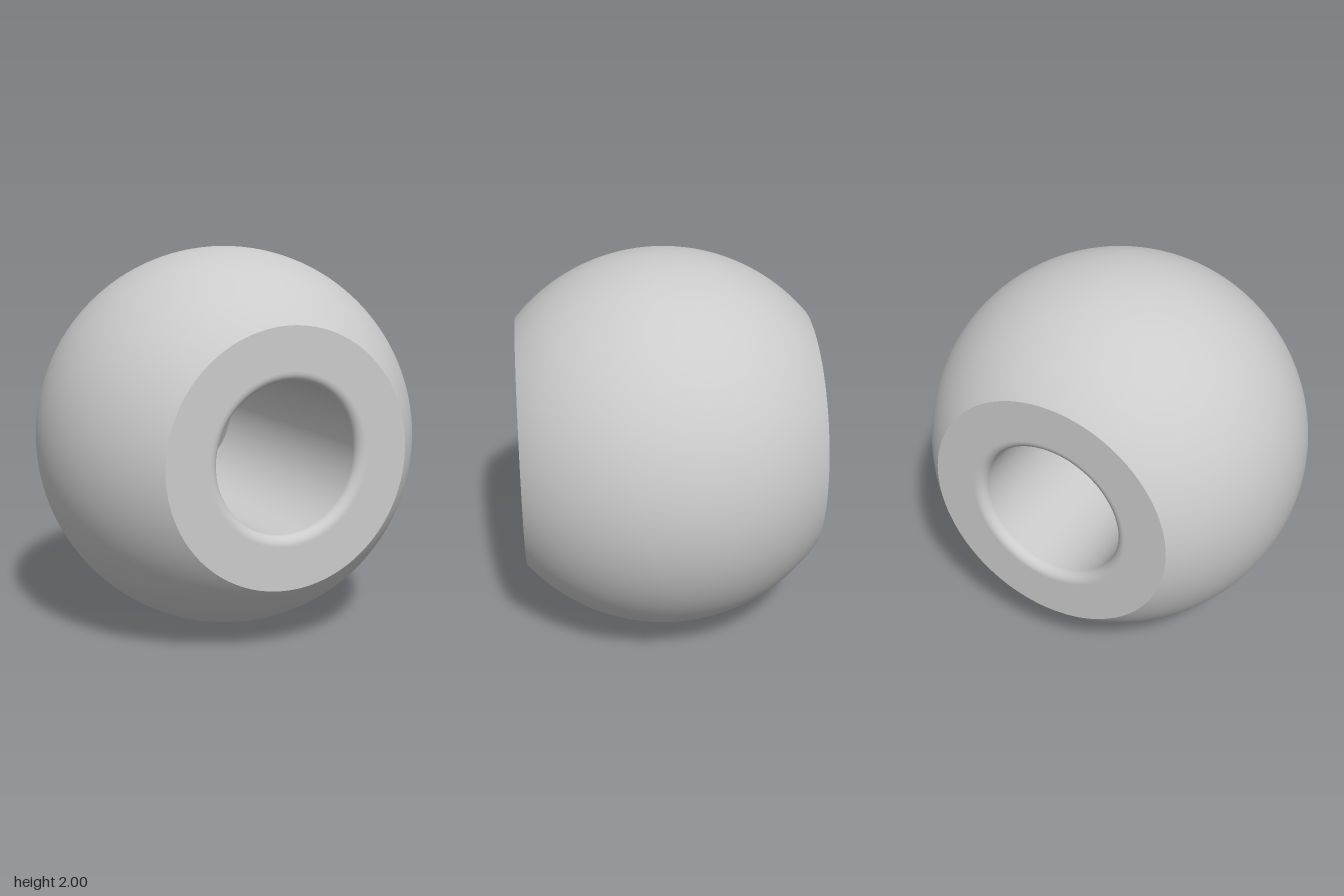
import * as THREE from 'three';

const R = 1;           // ball radius
const H = 0.757;       // half distance between the flats
const BORE = 0.38;     // bore radius
const FILLET = 0.05;   // rounding of the bore mouth
const SEGMENTS = 128;

// Points along an arc, in (radius, height) of the turned profile
function arc(cx, cy, r, from, to, steps) {
  return Array.from({ length: steps + 1 }, (_, i) => {
    const a = from + (to - from) * i / steps;
    return new THREE.Vector2(cx + r * Math.cos(a), cy + r * Math.sin(a));
  });
}

export function createModel() {
  const group = new THREE.Group();
  group.name = 'boredBall';
  const material = new THREE.MeshStandardMaterial({ color: 0xcccccc });

  // Each surface is turned separately so the rim edges stay sharp
  const turn = (name, points) => {
    const geometry = new THREE.LatheGeometry(points, SEGMENTS);
    geometry.rotateX(Math.PI / 2);
    geometry.translate(0, R, 0);
    const mesh = new THREE.Mesh(geometry, material);
    mesh.name = name;
    group.add(mesh);
  };

  // Outer spherical band
  const rimAngle = Math.asin(H / R);
  turn('ballSurface', arc(0, 0, R, -rimAngle, rimAngle, 64));

  // Flat ring faces, front and back
  const rim = Math.sqrt(R * R - H * H);
  const mouth = BORE + FILLET;
  turn('frontFlat', [new THREE.Vector2(rim, H), new THREE.Vector2(mouth, H)]);
  turn('backFlat', [new THREE.Vector2(mouth, -H), new THREE.Vector2(rim, -H)]);

  // Through bore with rounded mouths
  const c = H - FILLET;
  turn('bore', [
    ...arc(mouth, c, FILLET, Math.PI / 2, Math.PI, 12),
    ...arc(mouth, -c, FILLET, Math.PI, Math.PI * 1.5, 12),
  ]);

  return group;
}
